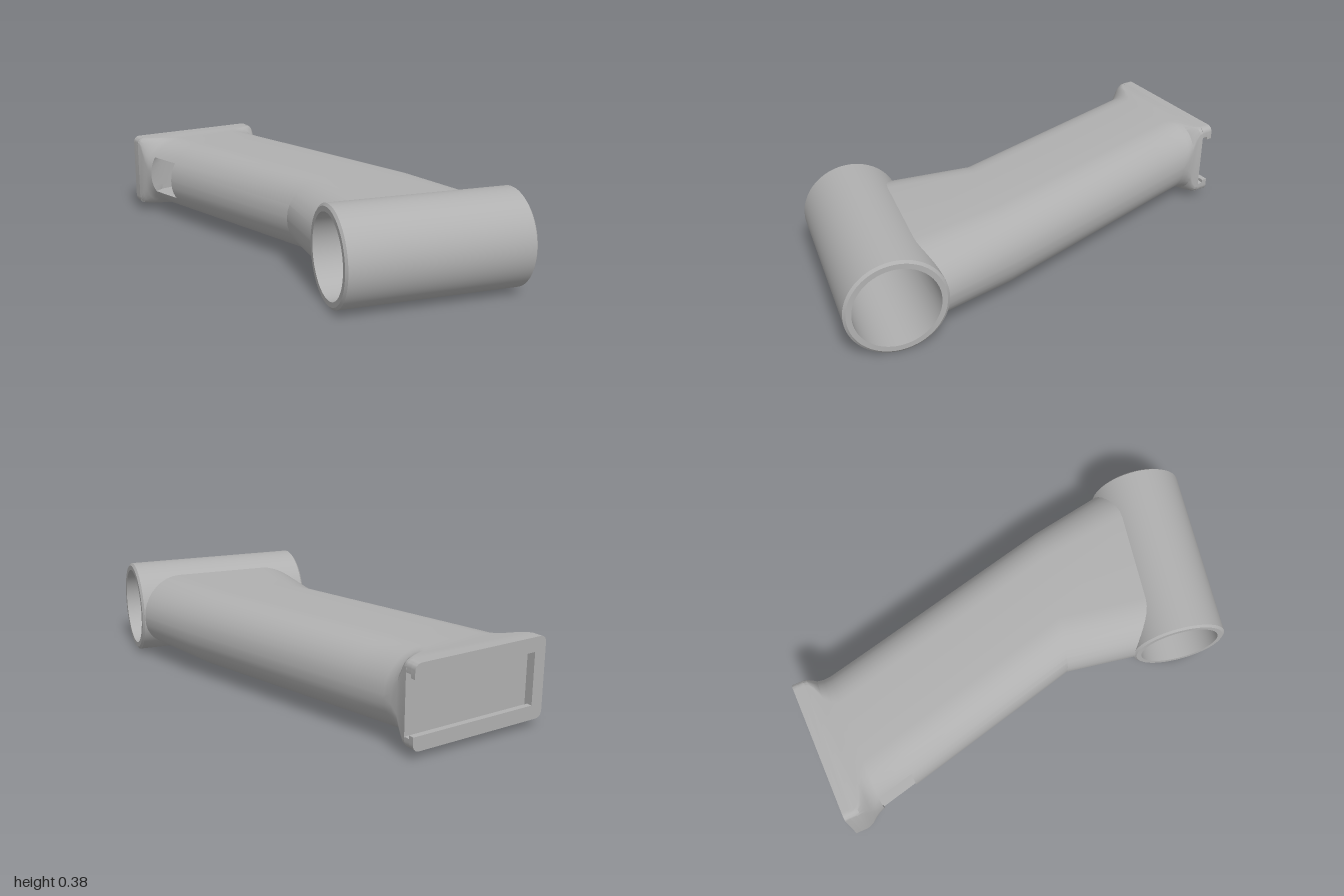
import * as THREE from 'three';
import { toCreasedNormals } from 'three/addons/utils/BufferGeometryUtils.js';

const V = (x, y, z) => new THREE.Vector3(x, y, z);

// Skin over rows of points; skip(row, column) leaves openings.
function skin(rows, skip = () => false) {
  const pos = rows.flat().flatMap(p => [p.x, p.y, p.z]);
  const n = rows[0].length, index = [];
  for (let j = 0; j < rows.length - 1; j++) {
    for (let i = 0; i < n - 1; i++) {
      if (skip(j, i)) continue;
      const a = j * n + i, b = a + 1, d = a + n, c = d + 1;
      index.push(a, b, d, b, c, d);
    }
  }
  const g = new THREE.BufferGeometry();
  g.setAttribute('position', new THREE.Float32BufferAttribute(pos, 3));
  g.setIndex(index);
  return toCreasedNormals(g, 0.4);
}

// Upright rounded section between plan points F (front) and B (back).
const CY = 0.187, H = 0.155;
function section([fx, fz], [bx, bz], r, rx = r * 1.06) {
  const F = V(fx, 0, fz), B = V(bx, 0, bz), dir = B.clone().sub(F).normalize();
  const side = (P, inward) => {
    const pts = [];
    for (const s of [1, -1]) {
      for (let k = 0; k <= 9; k++) {
        const t = THREE.MathUtils.degToRad(s > 0 ? 90 - k * 10 : -k * 10);
        const p = P.clone().addScaledVector(dir, inward * rx * (1 - Math.cos(t)));
        p.y = CY + s * (H - r) + r * Math.sin(t);
        pts.push(p);
      }
    }
    return pts;
  };
  const loop = [...side(F, 1), ...side(B, -1).reverse()];
  return [...loop, loop[0].clone()];
}

export function createModel() {
  const group = new THREE.Group();
  const grey = new THREE.MeshStandardMaterial({ color: 0xb0b0b0, side: THREE.DoubleSide });
  grey.name = 'grey plastic';
  const add = (name, geometry) => {
    const mesh = new THREE.Mesh(geometry, grey);
    mesh.name = name;
    group.add(mesh);
    return mesh;
  };

  // Sleeve frame: centre, axis and the direction towards the arm
  const C = V(0.635, 0.19, 0.14), axis = V(0.573, 0, -0.819), toArm = V(-0.819, 0, -0.573);

  // Open sleeve with a cable slot through the wall facing the arm
  const profile = [[-0.366, 0.16], [-0.366, 0.18], [-0.358, 0.19], [-0.147, 0.19], [0.063, 0.19],
    [0.358, 0.19], [0.366, 0.18], [0.366, 0.16], [0.063, 0.16], [-0.147, 0.16], [-0.366, 0.16]];
  const sleeveRows = profile.map(([u, r]) => Array.from({ length: 73 }, (_, i) => {
    const t = THREE.MathUtils.degToRad(i * 5 - 180);
    return C.clone().addScaledVector(axis, u)
      .addScaledVector(toArm, r * Math.cos(t)).add(V(0, r * Math.sin(t), 0));
  }));
  add('sleeve', skin(sleeveRows, (j, i) => (j === 3 || j === 8) && i >= 31 && i < 39));

  // Arm: rounded block at the flange, oval along its length, flared onto the sleeve
  const arm = [
    section([-0.957, 0], [-0.727, -0.537], 0.03),
    section([-0.945, 0.003], [-0.715, -0.53], 0.032),
    section([-0.925, 0.008], [-0.7, -0.522], 0.06),
    section([-0.905, 0.011], [-0.685, -0.518], 0.105),
    section([-0.885, 0.014], [-0.66, -0.513], 0.135),
    section([-0.86, 0.017], [-0.63, -0.508], 0.15),
    section([-0.71, 0.043], [-0.48, -0.481], 0.15),
    section([0.04, 0.17], [0.389, -0.329], 0.15, 0.17),
  ];
  const along = u => [C.x + axis.x * u, C.z + axis.z * u];
  arm.push(section(along(-0.362), along(0.362), 0.15, 0.17).map(p =>
    p.addScaledVector(toArm, Math.sqrt(0.175 ** 2 - (p.y - C.y) ** 2))));
  const capCentre = V(-0.842, CY, -0.2685);
  add('arm', skin([arm[0].map(() => capCentre.clone()), ...arm],
    (j, i) => j === 6 && i >= 6 && i < 13));

  // Cable duct: curves in from the side window and runs to the sleeve slot
  const mouth = [...arm[6].slice(6, 14).reverse(), ...arm[5].slice(6, 14)];
  const ductRows = [[...mouth, mouth[0]].map(p => p.clone())];
  const stops = [
    [[-0.69, 0], [-0.86, -0.05], 0.107, 0.267],
    [[-0.65, -0.02], [-0.84, -0.12], 0.107, 0.267],
    [[-0.6, -0.02], [-0.76, -0.18], 0.107, 0.267],
    [[-0.5, 0], [-0.62, -0.19], 0.11, 0.26],
    [[0.42, 0.168], [0.54, -0.003], 0.12, 0.233],
  ];
  for (const [f, b, y0, y1] of stops) {
    const ys = Array.from({ length: 8 }, (_, k) => y0 + (y1 - y0) * k / 7);
    const loop = [...ys.map(y => V(f[0], y, f[1])), ...ys.reverse().map(y => V(b[0], y, b[1]))];
    ductRows.push([...loop, loop[0].clone()]);
  }
  add('cableDuct', skin(ductRows));

  // Flange: two C-shaped layers form a slide-in slot, open at the back end
  const L = 0.583, y0 = CY - H, y1 = CY + H, r = 0.03;
  const layers = [['flangeLip', 0, 0.022, 0.1, 0.05], ['flangeRail', 0.022, 0.025, 0.113, 0.038]];
  for (const [name, offset, depth, half, start] of layers) {
    const s = new THREE.Shape();
    s.moveTo(r, y0);
    s.lineTo(L - r, y0);
    s.quadraticCurveTo(L, y0, L, y0 + r);
    s.lineTo(L, CY - half);
    s.lineTo(start, CY - half);
    s.lineTo(start, CY + half);
    s.lineTo(L, CY + half);
    s.lineTo(L, y1 - r);
    s.quadraticCurveTo(L, y1, L - r, y1);
    s.lineTo(r, y1);
    s.quadraticCurveTo(0, y1, 0, y1 - r);
    s.lineTo(0, y0 + r);
    s.quadraticCurveTo(0, y0, r, y0);
    const g = new THREE.ExtrudeGeometry(s, { depth, bevelEnabled: false, curveSegments: 8 });
    g.translate(0, 0, offset);
    g.applyMatrix4(new THREE.Matrix4().makeBasis(V(0.394, 0, -0.919), V(0, 1, 0), V(0.919, 0, 0.394))
      .setPosition(-1, 0, -0.019));
    add(name, toCreasedNormals(g, 0.5));
  }
  return group;
}
